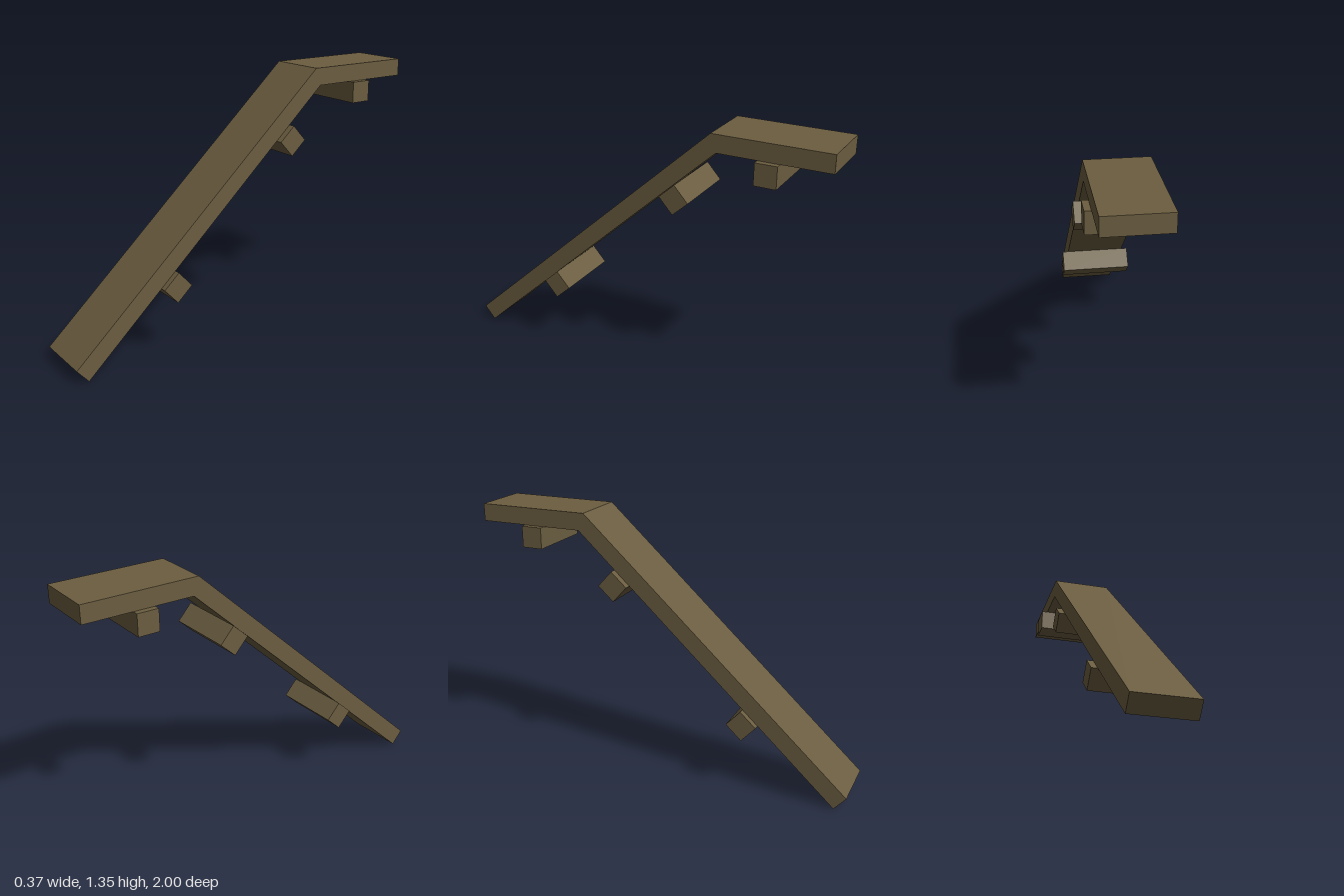
import * as THREE from 'three';

const HALF_WIDTH = 0.154;
const SLOPE = Math.atan2(1.28, 1.41);

export function createModel() {
  const model = new THREE.Group();
  model.name = 'plankRamp';
  const wood = new THREE.MeshStandardMaterial({ color: 0x6b5d40 });
  wood.name = 'brown wood';

  // Bent plank: side profile as [z, y], extruded across the width
  const profile = [[1, 0.07], [0.94, 0], [-0.44, 1.262], [-1, 1.262], [-1, 1.352], [-0.41, 1.352]];
  const shape = new THREE.Shape(profile.map(([z, y]) => new THREE.Vector2(-z, y)));
  const plankGeometry = new THREE.ExtrudeGeometry(shape, { depth: HALF_WIDTH * 2, bevelEnabled: false });
  plankGeometry.translate(0, 0, -HALF_WIDTH).rotateY(Math.PI / 2);
  const plank = new THREE.Mesh(plankGeometry, wood);
  plank.name = 'bentPlank';
  model.add(plank);

  // Square crossbars fixed to the underside
  const barGeometry = new THREE.BoxGeometry(0.37, 0.11, 0.11);
  const bars = [
    ['lowerCrossbar', 0.367, 0.457, SLOPE],
    ['middleCrossbar', 1.001, -0.241, SLOPE],
    ['upperCrossbar', 1.207, -0.697, 0],
  ];
  for (const [name, y, z, tilt] of bars) {
    const bar = new THREE.Mesh(barGeometry, wood);
    bar.name = name;
    bar.position.set(0, y, z);
    bar.rotation.x = tilt;
    model.add(bar);
  }
  return model;
}
